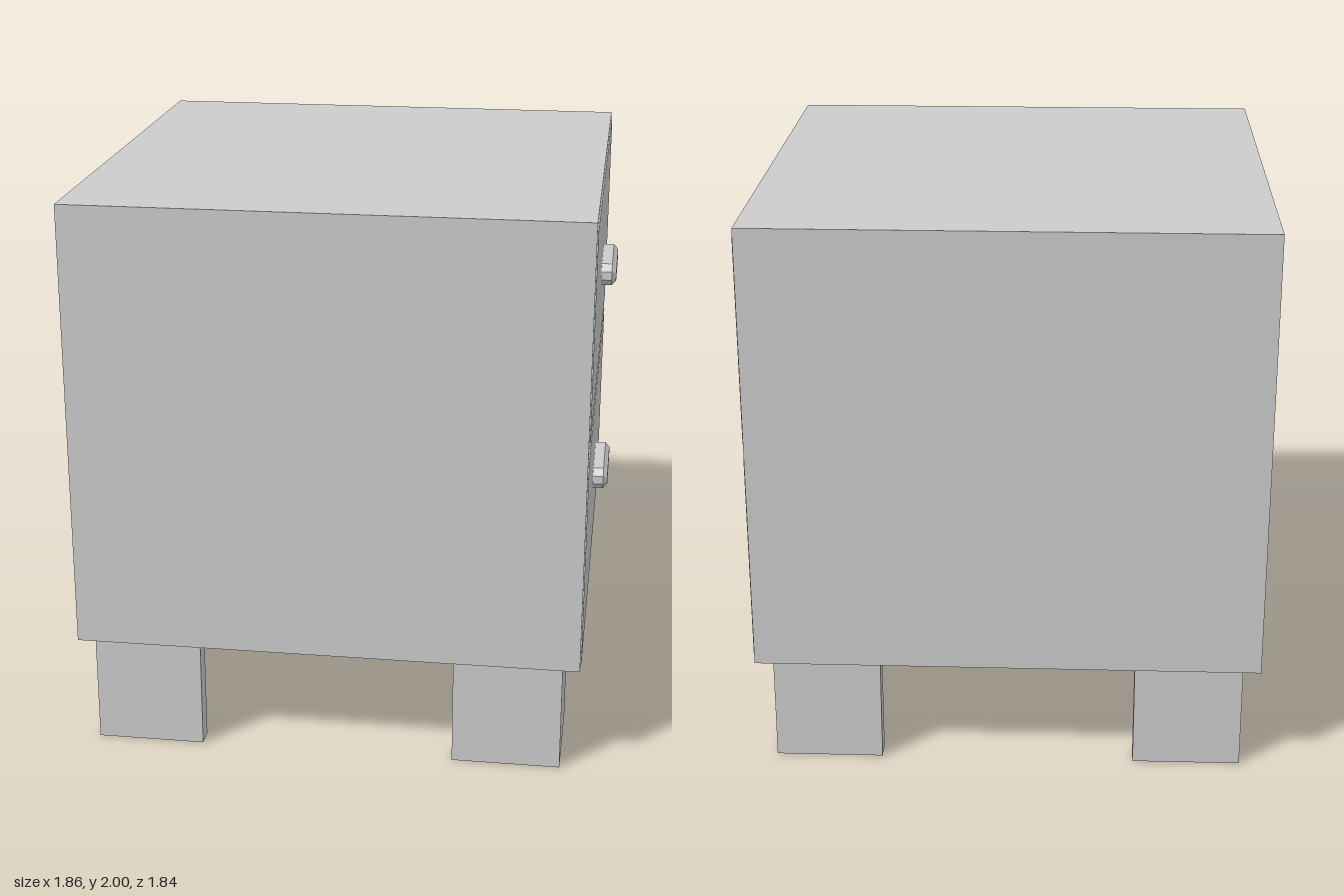
import * as THREE from 'three';

const material = new THREE.MeshStandardMaterial({ color: 0xcccccc, flatShading: true });

function add(parent, name, geometry, x = 0, y = 0, z = 0) {
  const mesh = new THREE.Mesh(geometry, material);
  mesh.name = name;
  mesh.position.set(x, y, z);
  parent.add(mesh);
  return mesh;
}

const shapeOf = (points) => new THREE.Shape(points.map(([x, y]) => new THREE.Vector2(x, y)));

// Corner leg: a right-angled wedge with blunt ends, its square corner outermost
function legGeometry(sx, sz) {
  const size = 0.385, blunt = 0.07;
  const outline = [[0, 0], [size, 0], [size, blunt], [blunt, size], [0, size]];
  const shape = shapeOf(outline.map(([a, b]) => [-sx * a, sz * b]));
  const geometry = new THREE.ExtrudeGeometry(shape, { depth: 0.395, bevelEnabled: false });
  return geometry.rotateX(-Math.PI / 2);
}

// Bar handle: a chamfered block that projects along +x
function handleGeometry() {
  const w = 0.165, h = 0.04, c = 0.015, bevel = 0.016;
  const a = w - bevel, b = h - bevel;
  const shape = shapeOf([
    [-a, -b + c], [-a + c, -b], [a - c, -b], [a, -b + c],
    [a, b - c], [a - c, b], [-a + c, b], [-a, b - c],
  ]);
  const geometry = new THREE.ExtrudeGeometry(shape, {
    depth: 0.05, bevelSize: bevel, bevelThickness: bevel, bevelSegments: 1,
  });
  return geometry.translate(0, 0, -0.05 - bevel).rotateY(Math.PI / 2);
}

export function createModel() {
  const group = new THREE.Group();
  group.name = 'nightstand';

  // Cabinet
  add(group, 'cabinet', new THREE.BoxGeometry(1.8, 1.607, 1.84), -0.03, 1.1965, 0);

  // Two drawers, each with a shallow front and a handle
  for (const [name, bottom, top, handleY] of [
    ['lowerDrawer', 0.42, 1.17, 0.805],
    ['upperDrawer', 1.23, 1.97, 1.605],
  ]) {
    const drawer = new THREE.Group();
    drawer.name = name;
    add(drawer, 'drawerFront', new THREE.BoxGeometry(0.02, top - bottom, 1.81), 0.864, (top + bottom) / 2, 0);
    add(drawer, 'handle', handleGeometry(), 0.928, handleY, -0.025);
    group.add(drawer);
  }

  // Four legs, mirrored into the corners
  for (const sx of [-1, 1]) {
    for (const sz of [-1, 1]) {
      const name = (sz > 0 ? 'front' : 'back') + (sx > 0 ? 'Left' : 'Right') + 'Leg';
      add(group, name, legGeometry(sx, sz), -0.03 + sx * 0.84, 0, 0.01 + sz * 0.89);
    }
  }
  return group;
}
